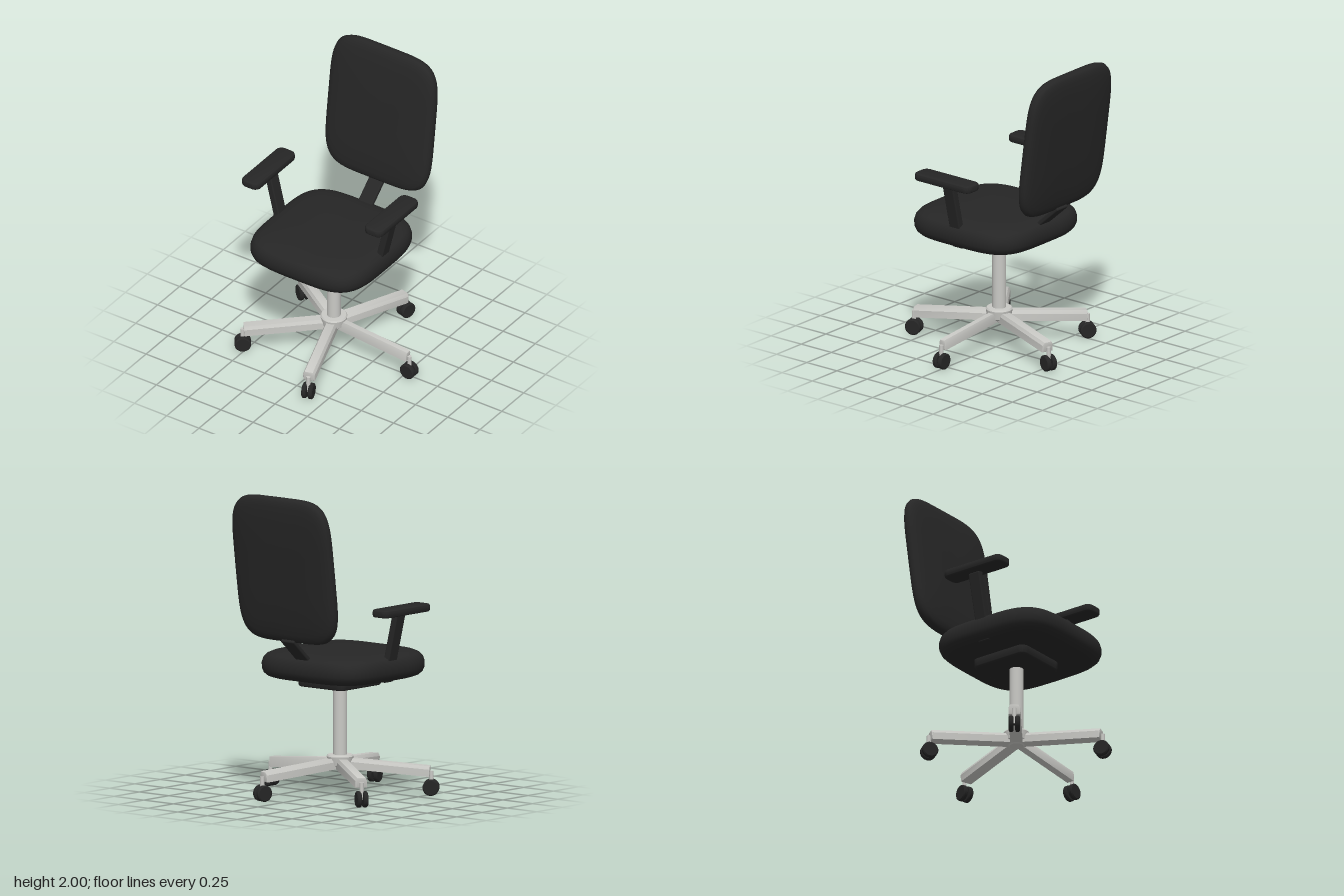
import * as THREE from 'three';
import { toCreasedNormals } from 'three/addons/utils/BufferGeometryUtils.js';
import { RoundedBoxGeometry } from 'three/addons/geometries/RoundedBoxGeometry.js';

const CX = -0.046, CZ = 0.01; // column axis

// Soft cushion: superellipse rings following a [scale, height] profile, top to bottom
function cushion(halfX, halfZ, power, profile, segments = 72) {
  const pos = [], index = [];
  const curve = (t) => Math.sign(t) * Math.abs(t) ** (2 / power);
  for (const [s, y] of profile) {
    for (let j = 0; j < segments; j++) {
      const a = (j / segments) * Math.PI * 2;
      pos.push(curve(Math.cos(a)) * halfX * s, y, curve(Math.sin(a)) * halfZ * s);
    }
  }
  for (let i = 0; i < profile.length - 1; i++) {
    for (let j = 0; j < segments; j++) {
      const k = (j + 1) % segments;
      const a = i * segments + j, b = i * segments + k;
      index.push(a, b, a + segments, b, b + segments, a + segments);
    }
  }
  const geo = new THREE.BufferGeometry();
  geo.setAttribute('position', new THREE.Float32BufferAttribute(pos, 3));
  geo.setIndex(index);
  geo.computeVertexNormals();
  return geo;
}

// Horizontal rounded rectangle with bevelled rims, centred on the origin
function slab(w, d, h, r, bevel) {
  const x = w / 2 - bevel, y = d / 2 - bevel;
  const s = new THREE.Shape();
  s.moveTo(x, -y + r);
  s.absarc(x - r, y - r, r, 0, Math.PI / 2);
  s.absarc(-x + r, y - r, r, Math.PI / 2, Math.PI);
  s.absarc(-x + r, -y + r, r, Math.PI, Math.PI * 1.5);
  s.absarc(x - r, -y + r, r, Math.PI * 1.5, Math.PI * 2);
  const geo = new THREE.ExtrudeGeometry(s, {
    depth: h - 2 * bevel, bevelThickness: bevel, bevelSize: bevel, bevelSegments: 4, curveSegments: 8,
  });
  geo.translate(0, 0, -(h - 2 * bevel) / 2).rotateX(-Math.PI / 2);
  return toCreasedNormals(geo, 0.7);
}

// Base leg: trapezoid beam running along +x from the origin
function legBeam(width, length) {
  const w = width / 2, h = 0.034, b = 0.006;
  const s = new THREE.Shape([
    [-w, -h], [w, -h], [w, h * 0.4], [w * 0.72, h], [-w * 0.72, h], [-w, h * 0.4],
  ].map(([x, y]) => new THREE.Vector2(x * (1 - b / w), y * (1 - b / h))));
  const geo = new THREE.ExtrudeGeometry(s, {
    depth: length - 2 * b, bevelThickness: b, bevelSize: b, bevelSegments: 2,
  });
  return toCreasedNormals(geo.translate(0, 0, b).rotateY(Math.PI / 2), 0.5);
}

export function createModel() {
  const model = new THREE.Group();
  const black = new THREE.MeshStandardMaterial({ color: 0x262626 });
  black.name = 'black';
  const metal = new THREE.MeshStandardMaterial({ color: 0xc9c9c5 });
  metal.name = 'light grey metal';

  const add = (parent, name, geo, mat, x = 0, y = 0, z = 0) => {
    const mesh = new THREE.Mesh(geo, mat);
    mesh.name = name;
    mesh.position.set(x, y, z);
    parent.add(mesh);
    return mesh;
  };

  // Seat and the mechanism housing below it
  add(model, 'seat', cushion(0.441, 0.441, 4, [
    [0, 0.955], [0.3, 0.954], [0.55, 0.95], [0.75, 0.941], [0.87, 0.93], [0.94, 0.915], [0.98, 0.893],
    [1, 0.86], [0.998, 0.825], [0.975, 0.797], [0.93, 0.777], [0.87, 0.767], [0.8, 0.765], [0, 0.765],
  ]), black, CX, 0, 0.04);
  add(model, 'seatMechanism', slab(0.39, 0.42, 0.08, 0.03, 0.018), black, CX, 0.747, 0.005);

  // Backrest, leaning backwards
  const t = 0.06;
  const half = [[0, 1], [0.3, 0.99], [0.55, 0.95], [0.75, 0.86], [0.88, 0.73], [0.95, 0.58], [0.985, 0.36]];
  const profile = [
    ...half.map(([s, y]) => [s, y * t]), [1, 0],
    ...half.slice().reverse().map(([s, y]) => [s, -y * t]),
  ];
  const back = add(model, 'backrest', cushion(0.407, 0.483, 5, profile), black, CX, 1.52, -0.535);
  back.rotation.x = Math.PI / 2 - 0.133;

  // Sloping bracket between seat and backrest
  const bracket = add(model, 'backBracket', new RoundedBoxGeometry(0.108, 0.03, 0.34, 3, 0.01), black, CX, 0.945, -0.385);
  bracket.rotation.x = 0.73;

  // Armrests
  for (const side of [1, -1]) {
    const arm = new THREE.Group();
    arm.name = side > 0 ? 'leftArmrest' : 'rightArmrest';
    arm.position.x = CX;
    add(arm, 'armPad', slab(0.138, 0.46, 0.05, 0.03, 0.014), black, side * 0.477, 1.235, 0.055);
    const lean = Math.atan2(0.106, 0.445);
    const post = add(arm, 'armPost', new RoundedBoxGeometry(0.045, 0.46, 0.085, 3, 0.008), black, side * 0.418, 0.988, 0.038);
    post.rotation.z = -side * lean;
    model.add(arm);
  }

  // Column and hub
  add(model, 'column', new THREE.CylinderGeometry(0.045, 0.045, 0.5, 32), metal, CX, 0.47, CZ);
  const hub = new THREE.LatheGeometry([
    [0, 0.165], [0.045, 0.165], [0.06, 0.18], [0.078, 0.195], [0.087, 0.25], [0.08, 0.26], [0, 0.262],
  ].map(([x, y]) => new THREE.Vector2(x, y)), 32);
  add(model, 'hub', toCreasedNormals(hub, 0.5), metal, CX, 0, CZ);

  // Five legs with twin-wheel casters
  const wheelGeo = new THREE.LatheGeometry([
    [0, -0.015], [0.046, -0.015], [0.053, -0.009], [0.053, 0.009], [0.046, 0.015], [0, 0.015],
  ].map(([x, y]) => new THREE.Vector2(x, y)), 28).rotateX(Math.PI / 2);
  const wheel = toCreasedNormals(wheelGeo, 0.6);
  for (let i = 0; i < 5; i++) {
    const spoke = new THREE.Group();
    spoke.name = 'baseLeg' + (i + 1);
    spoke.position.set(CX, 0, CZ);
    spoke.rotation.y = -i * Math.PI * 0.4;
    const beam = add(spoke, 'legBeam', legBeam(i === 0 ? 0.05 : 0.078, 0.545), metal, 0.035, 0.207, 0);
    beam.rotation.z = -0.09;
    add(spoke, 'casterStem', new THREE.CylinderGeometry(0.014, 0.014, 0.11, 16), metal, 0.587, 0.105, 0);
    add(spoke, 'casterAxle', new THREE.CylinderGeometry(0.012, 0.012, 0.03, 12).rotateX(Math.PI / 2), black, 0.585, 0.053, 0);
    for (const side of [1, -1]) add(spoke, 'casterWheel', wheel, black, 0.585, 0.053, side * 0.021);
    model.add(spoke);
  }
  return model;
}
